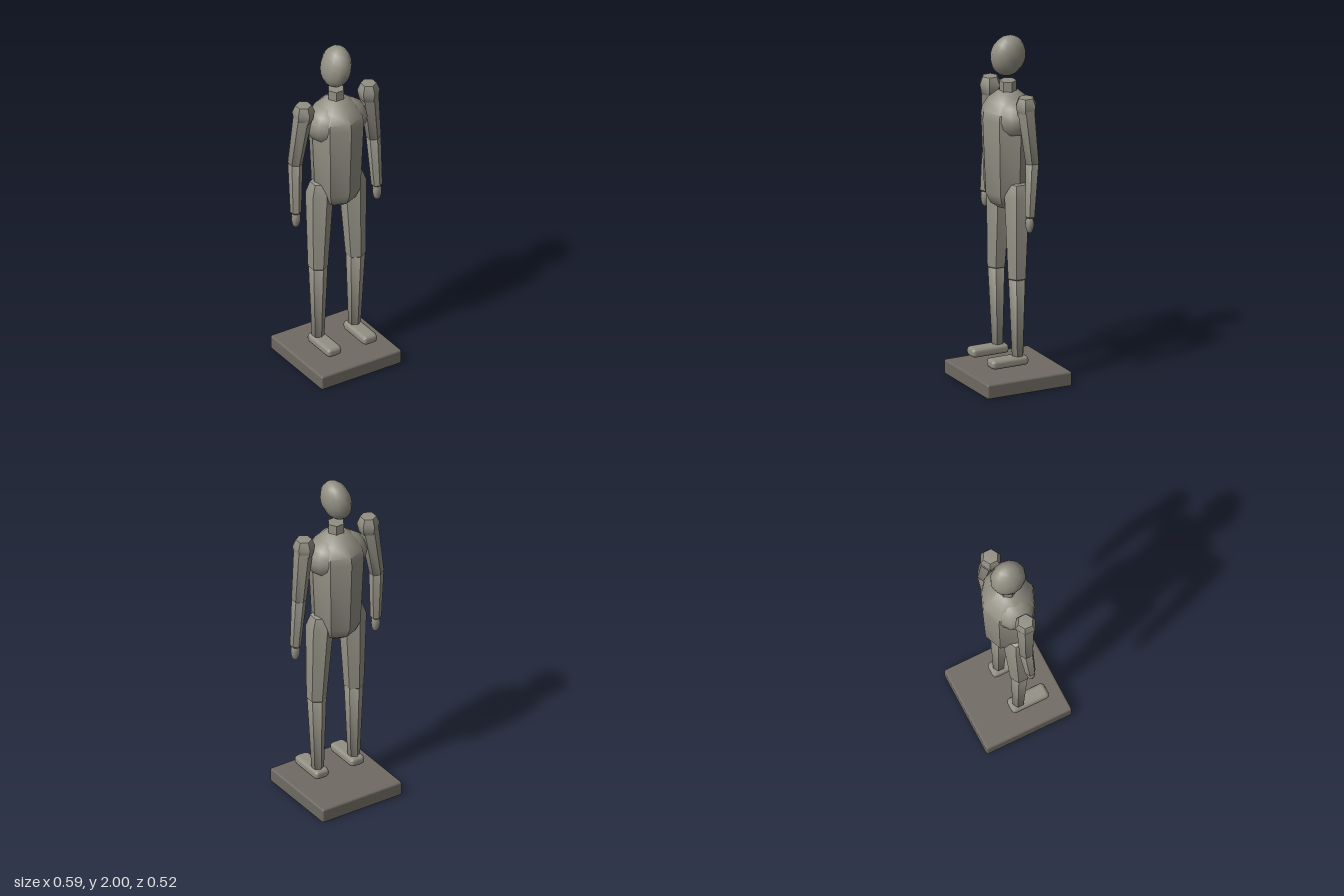
import * as THREE from 'three';
import { toCreasedNormals } from 'three/addons/utils/BufferGeometryUtils.js';
import { RoundedBoxGeometry } from 'three/addons/geometries/RoundedBoxGeometry.js';

const UP = new THREE.Vector3(0, 1, 0);

// Faceted solid of revolution from [radius, height] pairs, bottom to top
function turned(profile, sides) {
  const pts = profile.map(([r, y]) => new THREE.Vector2(r, y));
  return toCreasedNormals(new THREE.LatheGeometry(pts, sides), 0.7);
}

// Six-sided limb between two points; capHigh / capLow are rounded ends
function limb(low, high, rLow, rHigh, capLow, capHigh) {
  const a = new THREE.Vector3(...low), b = new THREE.Vector3(...high);
  const dir = b.clone().sub(a), len = dir.length();
  const geo = turned([
    [0, -capLow], [rLow * 0.6, -capLow * 0.8], [rLow, 0],
    [rHigh, len], [rHigh * 0.7, len + capHigh * 0.75], [0, len + capHigh],
  ], 6);
  geo.applyQuaternion(new THREE.Quaternion().setFromUnitVectors(UP, dir.normalize()));
  return geo.translate(a.x, a.y, a.z);
}

export function createModel() {
  const model = new THREE.Group();
  model.name = 'mannequin';
  const body = new THREE.MeshStandardMaterial({ color: 0x928f83 });
  body.name = 'warm grey';
  const dark = new THREE.MeshStandardMaterial({ color: 0x6f6a62 });
  dark.name = 'dark grey';

  const add = (name, geo, mat = body, parent = model) => {
    const mesh = new THREE.Mesh(geo, mat);
    mesh.name = name;
    parent.add(mesh);
    return mesh;
  };

  // Square stand
  add('base', new RoundedBoxGeometry(0.525, 0.085, 0.525, 1, 0.012), dark).position.y = 0.0425;

  // Tilted egg-shaped head
  const head = add('head', new THREE.SphereGeometry(1, 12, 12));
  head.scale.set(0.08, 0.122, 0.103);
  head.position.set(0, 1.879, 0);
  head.rotation.z = -0.22;

  // Neck
  const neck = add('neck', toCreasedNormals(new THREE.CylinderGeometry(0.048, 0.048, 0.13, 6), 0.7));
  neck.position.y = 1.67;
  neck.rotation.y = Math.PI / 6;

  // Eight-sided torso with rounded ends
  add('torso', turned([
    [0, 1.0], [0.06, 1.01], [0.11, 1.045], [0.138, 1.105],
    [0.157, 1.53], [0.15, 1.575], [0.115, 1.63], [0.06, 1.675], [0, 1.69],
  ], 8));

  // Broad chest
  const chest = add('chest', new THREE.SphereGeometry(1, 12, 10));
  chest.scale.set(0.188, 0.13, 0.135);
  chest.position.y = 1.535;

  for (const s of [1, -1]) {
    const side = s > 0 ? 'left' : 'right';
    const arm = new THREE.Group();
    arm.name = side + 'Arm';
    const leg = new THREE.Group();
    leg.name = side + 'Leg';
    model.add(arm, leg);

    // Arm
    add('shoulder', turned([
      [0.03, 1.58], [0.052, 1.6], [0.063, 1.655], [0.045, 1.697], [0, 1.7],
    ], 6).translate(s * 0.213, 0, 0), body, arm);
    add('upperArm', limb([s * 0.256, 1.33, -0.017], [s * 0.215, 1.64, 0], 0.042, 0.054, 0.025, 0.02), body, arm);
    add('forearm', limb([s * 0.265, 1.025, 0.003], [s * 0.256, 1.32, -0.016], 0.031, 0.041, 0.015, 0.025), body, arm);
    const hand = add('hand', new THREE.SphereGeometry(1, 8, 8), body, arm);
    hand.scale.set(0.028, 0.055, 0.024);
    hand.position.set(s * 0.265, 0.983, 0.005);

    // Leg
    add('thigh', limb([s * 0.123, 0.63, 0.008], [s * 0.108, 1.1, 0], 0.056, 0.078, 0.025, 0.09), body, leg);
    add('shin', limb([s * 0.119, 0.18, 0.003], [s * 0.122, 0.62, 0.008], 0.035, 0.053, 0.02, 0.025), body, leg);
    add('foot', new RoundedBoxGeometry(0.093, 0.055, 0.228, 1, 0.022), body, leg)
      .position.set(s * 0.117, 0.152, 0.064);
  }
  return model;
}
